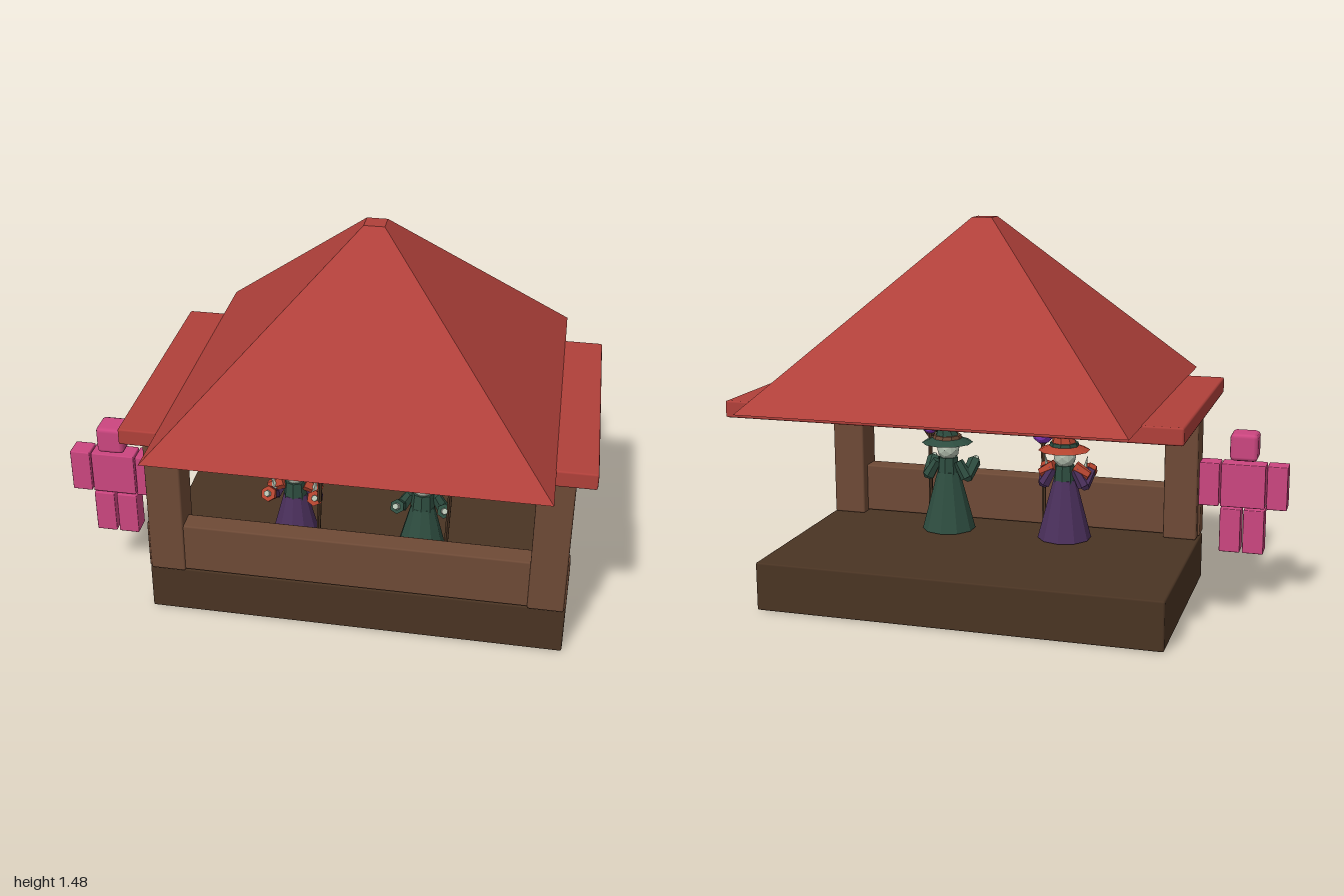
import * as THREE from 'three';
import { RoundedBoxGeometry } from 'three/addons/geometries/RoundedBoxGeometry.js';

const paint = (name, color) => Object.assign(new THREE.MeshStandardMaterial({ color }), { name });
const M = {
  roof: paint('roofRed', 0xb0403a),
  base: paint('darkWood', 0x4a3423),
  wood: paint('wood', 0x6e4a36),
  pink: paint('pink', 0xcc4680),
  orb: paint('violet', 0x8a38c8),
  robe: paint('robePurple', 0x4b305c),
  green: paint('robeGreen', 0x2e4d40),
  skin: paint('paleSkin', 0xb4c0b0),
  hat: paint('hatRed', 0xb4442f),
};

// Faceted copy of a geometry
function flat(geo) {
  const g = geo.index ? geo.toNonIndexed() : geo;
  g.computeVertexNormals();
  return g;
}

function add(parent, name, geo, mat, x = 0, y = 0, z = 0) {
  const m = new THREE.Mesh(geo, mat);
  m.name = name;
  m.position.set(x, y, z);
  parent.add(m);
  return m;
}

// Bevelled box given by its extents
function box(parent, name, mat, [x0, x1], [y0, y1], [z0, z1], bevel = 0.007) {
  const geo = new RoundedBoxGeometry(x1 - x0, y1 - y0, z1 - z0, 1, bevel);
  return add(parent, name, geo, mat, (x0 + x1) / 2, (y0 + y1) / 2, (z0 + z1) / 2);
}

// Tapered limb between two points
function limb(parent, name, mat, a, b, ra, rb, sides = 6) {
  const p = new THREE.Vector3(...a), q = new THREE.Vector3(...b);
  const d = q.clone().sub(p);
  const m = add(parent, name, flat(new THREE.CylinderGeometry(rb, ra, d.length(), sides)), mat);
  m.position.copy(p).add(q).multiplyScalar(0.5);
  m.quaternion.setFromUnitVectors(new THREE.Vector3(0, 1, 0), d.normalize());
  return m;
}

// Pointed hat with a bent tip, a band and a wide brim
function hat(mat, bandMat, height, lean) {
  const g = new THREE.Group();
  g.name = 'hat';
  add(g, 'hatBrim', flat(new THREE.CylinderGeometry(0.06, 0.104, 0.018, 10)), mat, 0, 0.005, 0);
  add(g, 'hatBand', flat(new THREE.CylinderGeometry(0.056, 0.06, 0.016, 10)), bandMat, 0, 0.02, 0);
  const crown = new THREE.CylinderGeometry(0.004, 0.056, height, 8, 4);
  const p = crown.attributes.position;
  for (let i = 0; i < p.count; i++) {
    const t = p.getY(i) / height + 0.5;
    p.setX(i, p.getX(i) + lean * t * t);
    p.setZ(i, p.getZ(i) - 0.03 * t * t);
  }
  add(g, 'hatCrown', flat(crown), mat, 0, height / 2 + 0.01, 0);
  return g;
}

// Robed mage holding a staff in the left hand
function mage(o) {
  const g = new THREE.Group();
  g.name = o.name;
  add(g, 'robeSkirt', flat(new THREE.CylinderGeometry(0.045, 0.108, 0.24, 10)), o.skirt, 0, 0.315, 0);
  add(g, 'torso', flat(new THREE.CylinderGeometry(0.04, 0.052, 0.13, 8)), M.green, 0, 0.43, 0);
  const head = add(g, 'head', flat(new THREE.IcosahedronGeometry(0.046, 1)), M.skin, 0, 0.53, 0);
  head.scale.y = 1.1;
  for (const s of [-1, 1]) {
    const eye = add(g, 'eye', new THREE.CylinderGeometry(0.009, 0.009, 0.008, 8), o.eyes, s * 0.018, 0.535, 0.041);
    eye.rotation.x = Math.PI / 2;
    limb(g, 'upperArm', o.sleeve, [s * 0.045, 0.48, -0.01], [s * 0.082, 0.415, -0.012], 0.02, 0.026);
    limb(g, 'sleeve', o.sleeve, [s * 0.082, 0.415, -0.015], [s * 0.088, 0.465, 0.07], 0.024, 0.028);
    limb(g, 'hand', M.skin, [s * 0.088, 0.463, 0.068], [s * 0.092, 0.478, 0.09], 0.014, 0.012);
    if (o.trim) {
      limb(g, 'shoulderTrim', o.trim, [s * 0.04, 0.485, 0], [s * 0.1, 0.455, 0], 0.03, 0.02);
      limb(g, 'cuff', o.trim, [s * 0.087, 0.457, 0.057], [s * 0.089, 0.469, 0.077], 0.03, 0.03);
      limb(g, 'shoulderSpike', M.skin, [s * 0.075, 0.46, 0.015], [s * 0.088, 0.53, 0.02], 0.012, 0.001, 5);
    }
  }
  const top = hat(o.hat, o.band, o.hatHeight, o.lean);
  top.position.set(0, 0.562, -0.01);
  g.add(top);
  limb(g, 'staff', M.base, [0.095, 0.2, 0.045], [o.orbX, 0.585, 0.09], 0.008, 0.009);
  add(g, 'orb', flat(new THREE.IcosahedronGeometry(o.orbR, 1)), M.orb, o.orbX, 0.597, 0.09);
  // Claws holding the orb
  for (const s of [-1, 1]) {
    limb(g, 'staffClaw', M.base, [o.orbX, 0.55, 0.088], [o.orbX + s * o.orbR, 0.585, 0.09], 0.007, 0.003, 5);
  }
  g.position.set(o.x, 0, 0.2);
  return g;
}

// Blocky practice figure
function blockFigure() {
  const g = new THREE.Group();
  g.name = 'blockFigure';
  const z = [-0.04, 0.04];
  box(g, 'torso', M.pink, [-0.085, 0.085], [0.38, 0.55], z, 0.004);
  box(g, 'head', M.pink, [-0.053, 0.053], [0.565, 0.672], [-0.053, 0.053], 0.016);
  for (const s of [-1, 1]) {
    box(g, 'arm', M.pink, [s * 0.13 - 0.039, s * 0.13 + 0.039], [0.38, 0.55], z, 0.004);
    box(g, 'leg', M.pink, [s * 0.045 - 0.04, s * 0.045 + 0.04], [0.2, 0.372], z, 0.004);
  }
  g.position.set(-0.831, 0, 0.205);
  return g;
}

export function createModel() {
  const model = new THREE.Group();
  model.name = 'marketStall';
  const cx = 0.145;

  // Platform, counter wall and posts
  box(model, 'platform', M.base, [-0.643, 0.932], [0, 0.19], [-0.432, 0.432]);
  box(model, 'counterWall', M.wood, [-0.643, 0.932], [0.195, 0.393], [0.352, 0.437]);
  for (const s of [-1, 1]) {
    const x = cx + s * 0.713;
    box(model, 'post', M.wood, [x - 0.067, x + 0.067], [0.19, 0.768], [0.31, 0.443]);
  }

  // Ceiling slab and four-sided roof
  box(model, 'ceilingSlab', M.roof, [-0.705, 0.995], [0.764, 0.827], [-0.493, 0.493]);
  const pyramid = new THREE.CylinderGeometry(0.038 * Math.SQRT2, 0.706 * Math.SQRT2, 0.658, 4);
  pyramid.rotateY(Math.PI / 4);
  add(model, 'roof', flat(pyramid), M.roof, cx, 0.825 + 0.329, 0);

  // Figures
  model.add(mage({
    name: 'redHatMage', x: -0.12, skirt: M.robe, sleeve: M.robe, trim: M.hat, eyes: M.orb,
    hat: M.hat, band: M.green, hatHeight: 0.148, lean: 0.05, orbX: 0.115, orbR: 0.044,
  }));
  model.add(mage({
    name: 'greenHatMage', x: 0.37, skirt: M.green, sleeve: M.green, eyes: M.green,
    hat: M.green, band: M.wood, hatHeight: 0.115, lean: 0.032, orbX: 0.11, orbR: 0.032,
  }));
  model.add(blockFigure());
  return model;
}
